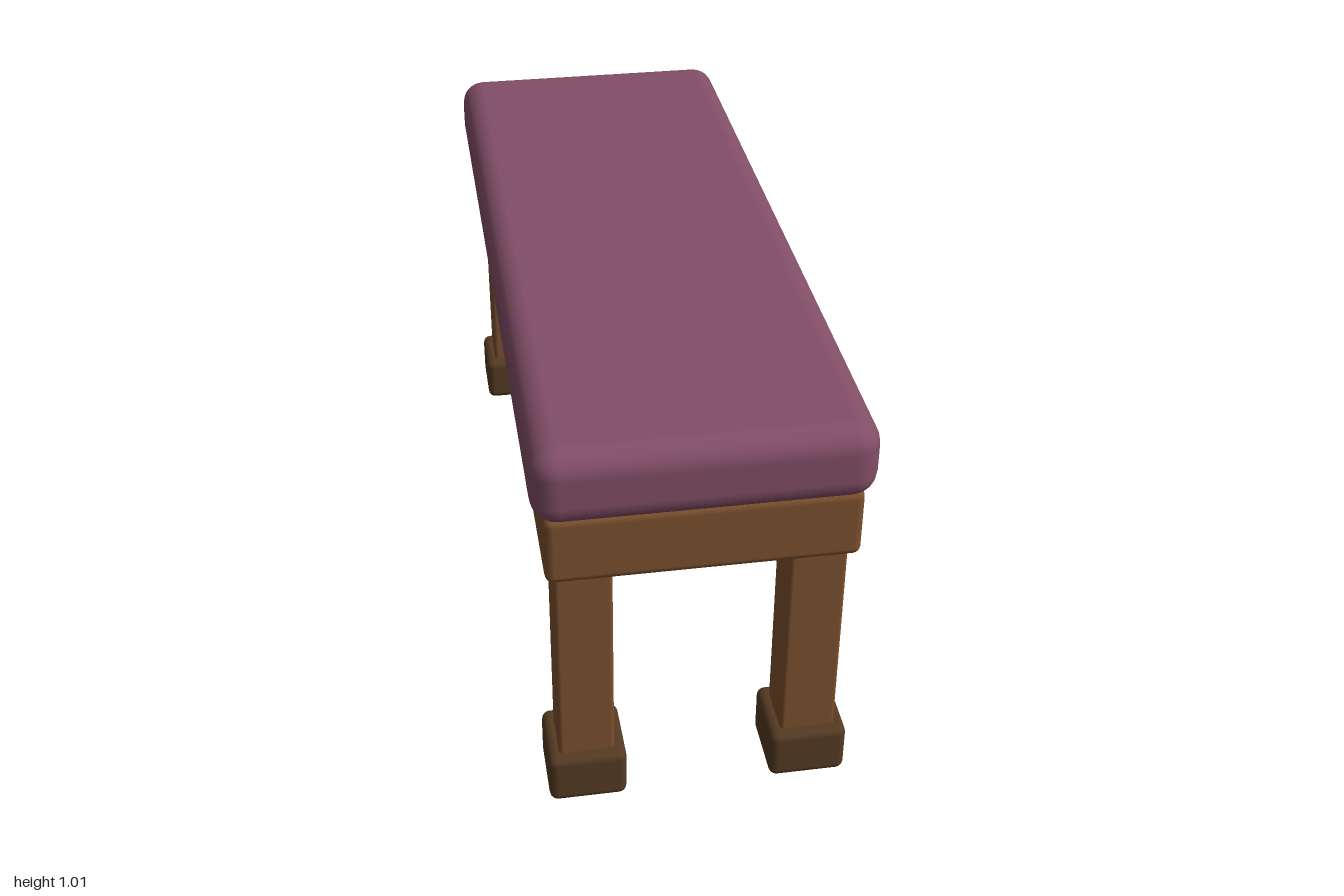
import * as THREE from 'three';
import { RoundedBoxGeometry } from 'three/addons/geometries/RoundedBoxGeometry.js';

export function createModel() {
  const group = new THREE.Group();
  group.name = 'paddedBench';

  const material = (name, color) => {
    const m = new THREE.MeshStandardMaterial({ color });
    m.name = name;
    return m;
  };
  const fabric = material('plumFabric', 0x824e66);
  const wood = material('brownWood', 0x7c502e);
  const darkWood = material('darkWood', 0x543a22);

  // Rounded block spanning y0 to y1, centred on (x, z)
  const block = (name, mat, width, depth, y0, y1, radius, segments, x = 0, z = 0) => {
    const mesh = new THREE.Mesh(
      new RoundedBoxGeometry(width, y1 - y0, depth, segments, radius), mat);
    mesh.name = name;
    mesh.position.set(x, (y0 + y1) / 2, z);
    group.add(mesh);
  };

  // Padded seat on a wooden frame
  block('cushion', fabric, 0.752, 2, 0.825, 1.013, 0.06, 3);
  block('seatFrame', wood, 0.7, 1.95, 0.665, 0.838, 0.02, 2);

  // Four square legs, each standing on a wider foot
  for (const [sx, side] of [[1, 'Left'], [-1, 'Right']]) {
    for (const [sz, end] of [[1, 'front'], [-1, 'back']]) {
      const x = sx * 0.264, z = sz * 0.876;
      block(`${end}${side}Leg`, wood, 0.131, 0.131, 0.1, 0.69, 0.01, 2, x, z);
      block(`${end}${side}Foot`, darkWood, 0.184, 0.184, 0, 0.132, 0.02, 2, x, z);
    }
  }
  return group;
}
